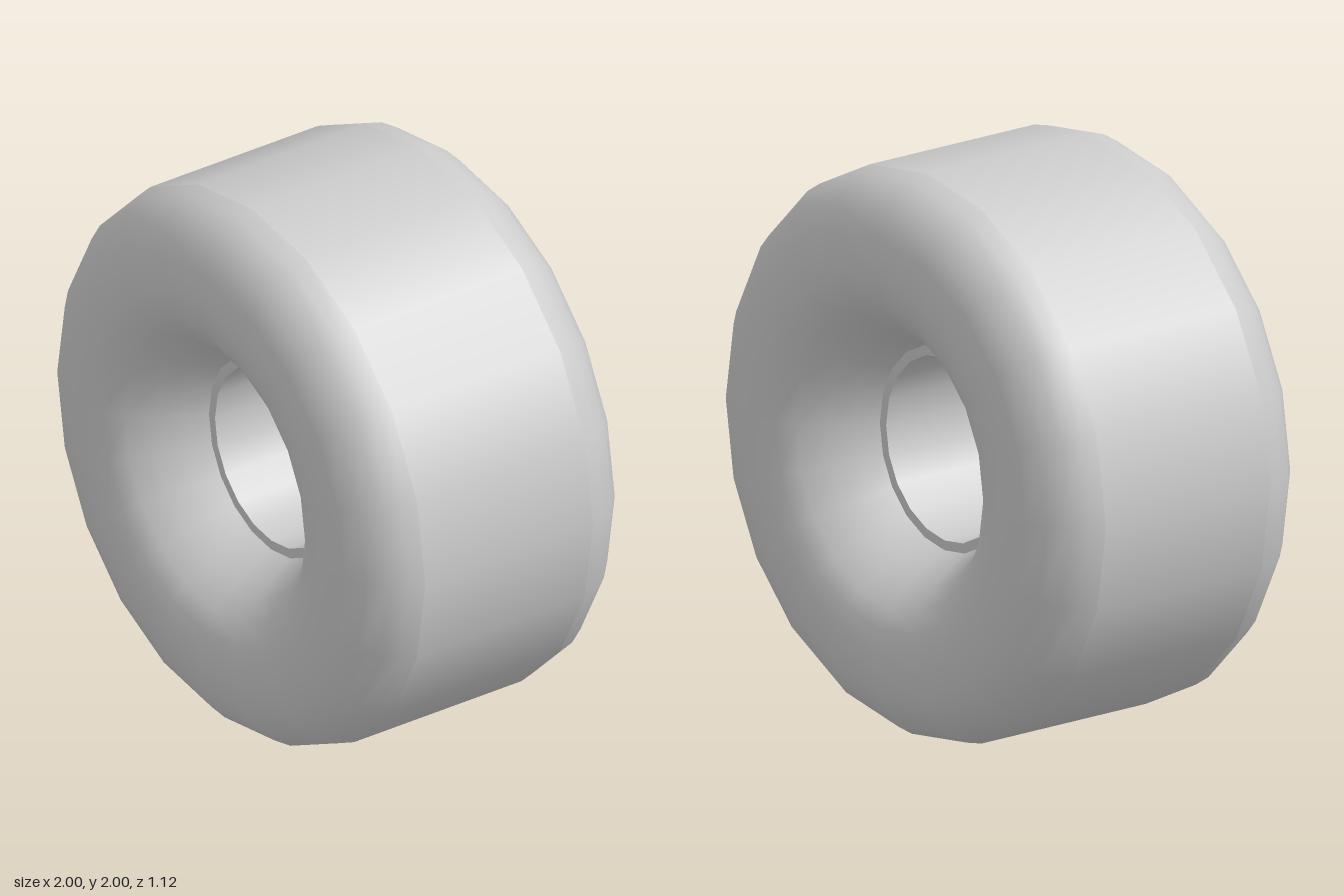
import * as THREE from 'three';

const SIDES = 20;
const material = new THREE.MeshStandardMaterial({ color: 0xcccccc });

// Turns a profile of [radius, z] points about the z axis
function turned(name, profile) {
  const points = profile.map(([r, z]) => new THREE.Vector2(r, z));
  const geometry = new THREE.LatheGeometry(points, SIDES);
  geometry.rotateX(Math.PI / 2);
  const mesh = new THREE.Mesh(geometry, material);
  mesh.name = name;
  return mesh;
}

// One side of the wheel: rounded shoulder, dished face and bearing ledge
function wheelSide(name) {
  const side = new THREE.Group();
  side.name = name;
  side.add(
    turned('roundedFace', [
      [1, 0.35], [0.985, 0.41], [0.95, 0.465], [0.89, 0.52], [0.81, 0.55], [0.73, 0.56],
      [0.66, 0.56], [0.59, 0.545], [0.52, 0.505], [0.45, 0.43], [0.395, 0.345], [0.36, 0.27],
    ]),
    turned('bearingLedge', [[0.36, 0.27], [0.325, 0.27]]),
  );
  return side;
}

export function createModel() {
  const wheel = new THREE.Group();
  wheel.name = 'wheel';

  // Flat running surface and the hole through the middle
  wheel.add(turned('tread', [[1, -0.35], [1, 0.35]]));
  wheel.add(turned('bore', [[0.325, 0.27], [0.325, -0.27]]));

  // Matching front and back
  const back = wheelSide('backSide');
  back.rotation.y = Math.PI;
  wheel.add(wheelSide('frontSide'), back);

  wheel.position.y = 1;
  const model = new THREE.Group();
  model.add(wheel);
  return model;
}
